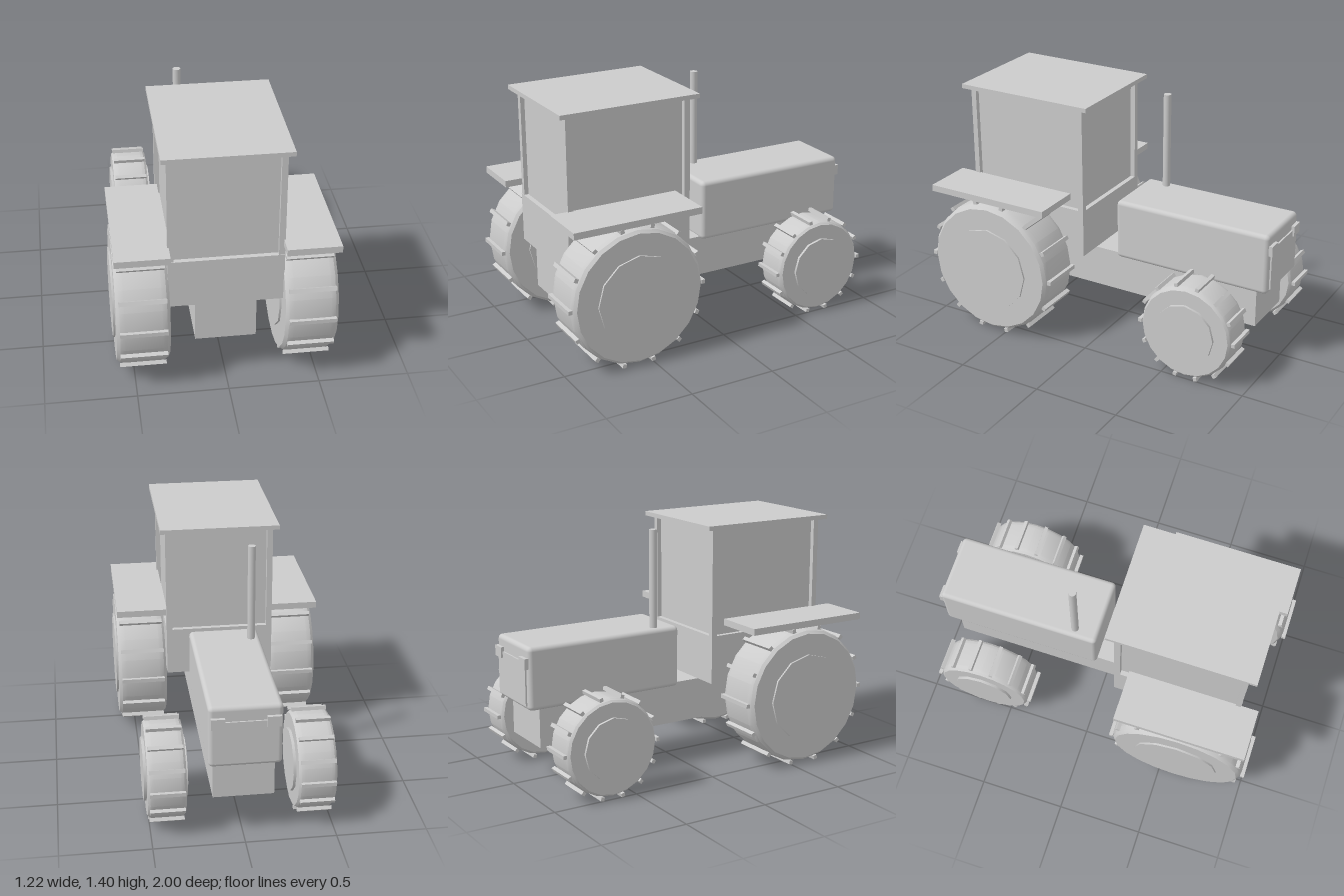
import * as THREE from 'three';
import { toCreasedNormals } from 'three/addons/utils/BufferGeometryUtils.js';
import { RoundedBoxGeometry } from 'three/addons/geometries/RoundedBoxGeometry.js';

const grey = new THREE.MeshStandardMaterial({ color: 0xcccccc });
grey.name = 'plain grey';

function add(parent, name, geometry, x = 0, y = 0, z = 0) {
  const mesh = new THREE.Mesh(geometry, grey);
  mesh.name = name;
  mesh.position.set(x, y, z);
  parent.add(mesh);
  return mesh;
}

// Box given by its limits on each axis
function box(parent, name, [x0, x1], [y0, y1], [z0, z1]) {
  return add(parent, name, new THREE.BoxGeometry(x1 - x0, y1 - y0, z1 - z0),
    (x0 + x1) / 2, (y0 + y1) / 2, (z0 + z1) / 2);
}

// Wheel turning about x: bevelled tyre, hub disc and a ring of tread bars
function wheel(name, { r, half, hubR, hubHalf, barHalf, barR, bar }) {
  const group = new THREE.Group();
  group.name = name;
  const side = [[r * 0.94, half], [r * 0.98, half * 0.88], [r, half * 0.7]];
  const profile = [[0, -half], ...side.map(([a, h]) => [a, -h]), ...side.reverse(), [0, half]]
    .map(([a, h]) => new THREE.Vector2(a, h));
  const tyre = new THREE.LatheGeometry(profile, 20).rotateZ(-Math.PI / 2);
  add(group, 'tyre', toCreasedNormals(tyre, 0.35));
  add(group, 'hub', new THREE.CylinderGeometry(hubR, hubR, hubHalf * 2, 12).rotateZ(-Math.PI / 2));
  const barGeometry = new THREE.BoxGeometry(barHalf * 2, bar, bar);
  for (let i = 0; i < 14; i++) {
    const a = (i / 14) * Math.PI * 2;
    add(group, 'treadBar', barGeometry, 0, Math.sin(a) * barR, Math.cos(a) * barR).rotation.x = -a;
  }
  return group;
}

export function createModel() {
  const model = new THREE.Group();
  model.name = 'tractor';

  // Chassis and bonnet
  box(model, 'chassis', [-0.167, 0.167], [0.25, 0.49], [-0.91, 0.85]);
  add(model, 'bonnet', new RoundedBoxGeometry(0.394, 0.355, 0.948, 3, 0.025), 0, 0.652, -0.507);
  box(model, 'grille', [-0.165, 0.165], [0.5, 0.745], [-0.99, -0.97]);
  add(model, 'exhaustPipe', new THREE.CylinderGeometry(0.022, 0.022, 0.58, 12), -0.145, 1.1, -0.173);

  // Cab
  box(model, 'cabBase', [-0.312, 0.312], [0.49, 0.77], [0.117, 0.865]);
  box(model, 'cabWindows', [-0.285, 0.285], [0.77, 1.385], [0.145, 0.837]);
  box(model, 'cabRoof', [-0.342, 0.342], [1.385, 1.41], [0.072, 0.905]);

  // Paired parts
  for (const s of [-1, 1]) {
    const span = (a, b) => (s > 0 ? [a, b] : [-b, -a]);
    box(model, 'headlight', span(0.11, 0.185), [0.71, 0.77], [-1, -0.97]);
    box(model, 'cabPillar', span(0.279, 0.312), [0.77, 1.385], [0.117, 0.152]);
    box(model, 'cabPillar', span(0.279, 0.312), [0.77, 1.385], [0.831, 0.862]);
    box(model, 'fender', span(0.304, 0.597), [0.825, 0.863], [0.205, 0.963]);

    const rear = wheel('largeWheel', {
      r: 0.395, half: 0.144, hubR: 0.249, hubHalf: 0.155, barHalf: 0.128, barR: 0.402, bar: 0.023,
    });
    rear.position.set(s * 0.4525, 0.415, 0.587);
    const front = wheel('smallWheel', {
      r: 0.275, half: 0.104, hubR: 0.176, hubHalf: 0.119, barHalf: 0.096, barR: 0.285, bar: 0.021,
    });
    front.position.set(s * 0.407, 0.3, -0.648);
    model.add(rear, front);
  }
  return model;
}
